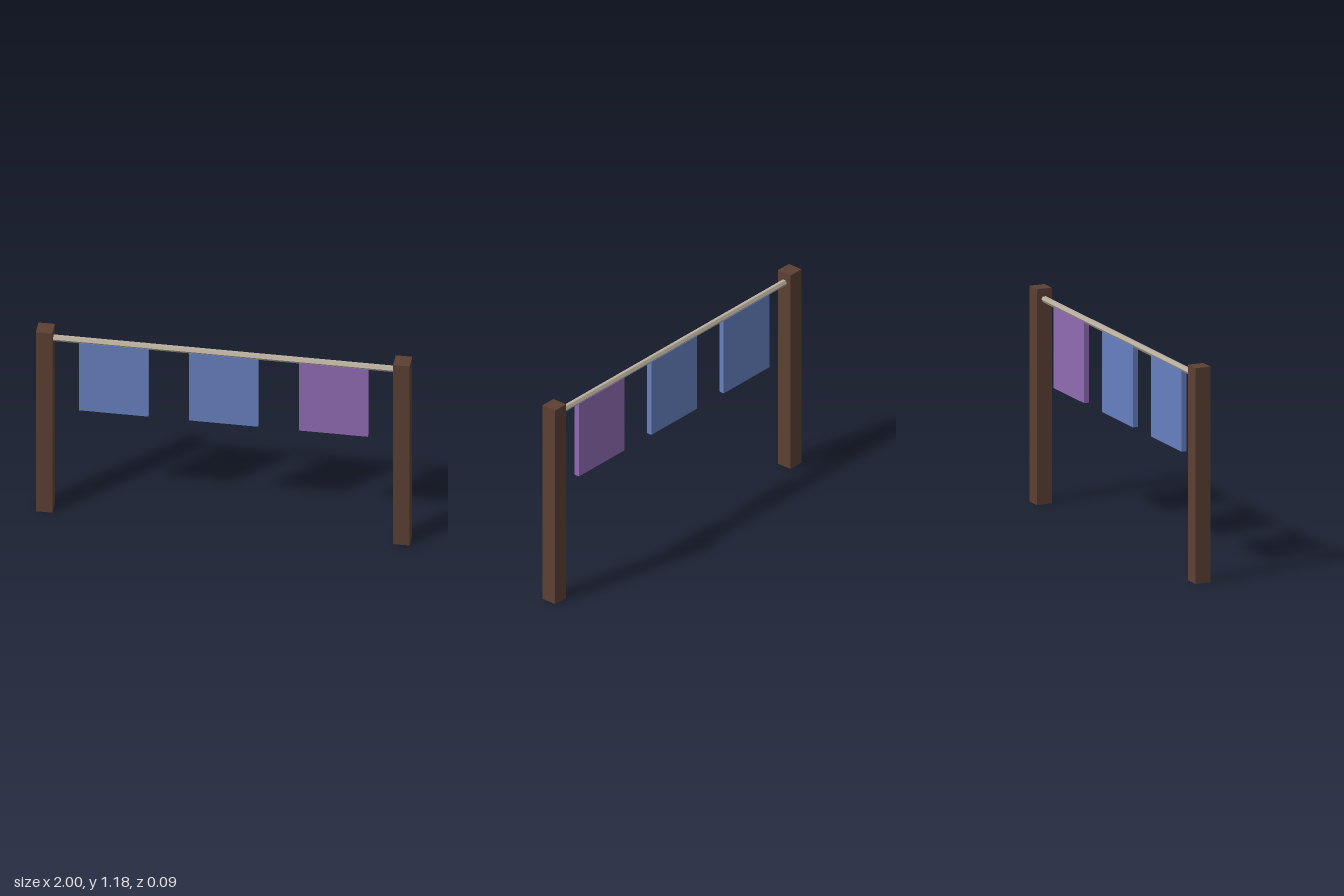
import * as THREE from 'three';

const material = (name, color) => {
  const m = new THREE.MeshStandardMaterial({ color });
  m.name = name;
  return m;
};

export function createModel() {
  const wood = material('dark wood', 0x5c4033);
  const railGrey = material('warm grey', 0xb8ae9e);
  const blue = material('blue cloth', 0x6680c0);
  const purple = material('purple cloth', 0x906bb3);
  railGrey.flatShading = true;

  const model = new THREE.Group();
  model.name = 'hangingRack';
  const add = (name, geometry, mat, x, y) => {
    const mesh = new THREE.Mesh(geometry, mat);
    mesh.name = name;
    mesh.position.set(x, y, 0);
    model.add(mesh);
  };

  // Square posts at both ends
  const post = new THREE.BoxGeometry(0.088, 1.176, 0.088);
  add('leftPost', post, wood, 0.956, 0.588);
  add('rightPost', post, wood, -0.956, 0.588);

  // Six-sided rail with flat top and bottom, ending inside the posts
  const rail = new THREE.CylinderGeometry(0.0176, 0.0176, 1.88, 6).rotateZ(Math.PI / 2);
  add('rail', rail, railGrey, 0, 1.118);

  // Three cloths hanging from the rail
  const cloth = new THREE.BoxGeometry(0.37, 0.441, 0.029);
  add('rightCloth', cloth, blue, -0.588, 0.8875);
  add('middleCloth', cloth, blue, 0, 0.8875);
  add('leftCloth', cloth, purple, 0.588, 0.8875);

  return model;
}
